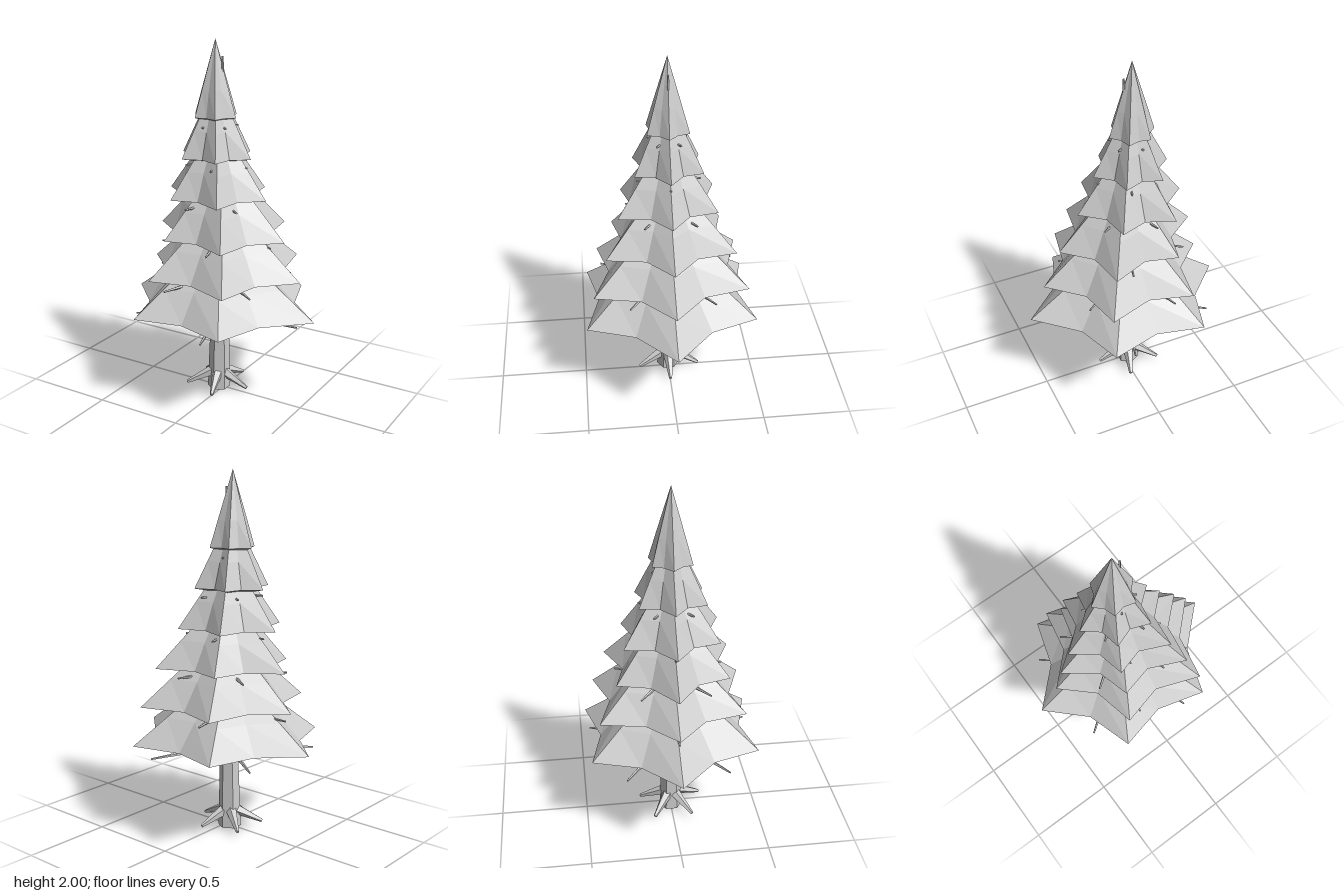
import * as THREE from 'three';

const grey = new THREE.MeshStandardMaterial({ color: 0xcccccc, flatShading: true });
grey.name = 'plain grey';

// Tapered rod from point a to point b
function rod(name, a, b, r0, r1, sides) {
  const dir = b.clone().sub(a);
  const mesh = new THREE.Mesh(new THREE.CylinderGeometry(r1, r0, dir.length(), sides), grey);
  mesh.name = name;
  mesh.position.copy(a).add(b).multiplyScalar(0.5);
  mesh.quaternion.setFromUnitVectors(new THREE.Vector3(0, 1, 0), dir.normalize());
  return mesh;
}

// Five rods spread evenly around a centre
function spokes(name, cx, turn, from, to, r0, r1) {
  const group = new THREE.Group();
  group.name = name;
  for (let i = 0; i < 5; i++) {
    const a = turn + (i * Math.PI * 2) / 5;
    const at = ([r, y]) => new THREE.Vector3(cx + r * Math.cos(a), y, r * Math.sin(a));
    group.add(rod(name + 'Piece', at(from), at(to), r0, r1, 5));
  }
  return group;
}

// Six-pointed star skirt: rim, narrower middle ring, apex and shallow underside
function starTier({ y, cx, tips, valley, top }) {
  const ring = (scale, valleyScale, h) => Array.from({ length: 12 }, (_, i) => {
    const a = (i * Math.PI) / 6;
    const k = i >> 1;
    const r = i % 2 ? ((tips[k] + tips[(k + 1) % 6]) / 2) * valley * valleyScale : tips[k] * scale;
    return [cx + r * Math.cos(a), h, r * Math.sin(a)];
  });
  const rim = ring(1, 1, y);
  const mid = ring(0.65, 0.69, y + 0.145);
  const apex = [cx, top, 0];
  const under = [cx, y - 0.04, 0];
  const pos = [];
  for (let i = 0; i < 12; i++) {
    const j = (i + 1) % 12;
    for (const p of [rim[i], mid[i], mid[j], rim[i], mid[j], rim[j],
      mid[i], apex, mid[j], rim[i], rim[j], under]) pos.push(...p);
  }
  const geo = new THREE.BufferGeometry();
  geo.setAttribute('position', new THREE.Float32BufferAttribute(pos, 3));
  geo.computeVertexNormals();
  const mesh = new THREE.Mesh(geo, grey);
  mesh.name = 'foliageTier';
  return mesh;
}

export function createModel() {
  const tree = new THREE.Group();
  tree.name = 'pineTree';

  // Trunk, leaning slightly
  tree.add(rod('trunk', new THREE.Vector3(-0.03, 0, 0), new THREE.Vector3(-0.005, 1.91, 0), 0.065, 0.005, 6));

  // Roots
  tree.add(spokes('roots', -0.03, 0, [0.02, 0.105], [0.185, 0.03], 0.034, 0.01));

  // Foliage: tip radii run from +x round through +z
  const tiers = [
    { y: 0.525, cx: -0.02, valley: 0.74, tips: [0.59, 0.55, 0.535, 0.555, 0.535, 0.55] },
    { y: 0.735, cx: 0, valley: 0.71, tips: [0.48, 0.497, 0.46, 0.455, 0.475, 0.49] },
    { y: 0.945, cx: -0.01, valley: 0.69, tips: [0.39, 0.41, 0.355, 0.4, 0.36, 0.41] },
    { y: 1.16, cx: -0.035, valley: 0.68, tips: [0.3, 0.325, 0.29, 0.31, 0.31, 0.3] },
    { y: 1.375, cx: -0.045, valley: 0.68, tips: [0.215, 0.212, 0.21, 0.215, 0.208, 0.213] },
    { y: 1.59, cx: -0.05, valley: 0.74, tips: [0.127, 0.13, 0.125, 0.13, 0.122, 0.13] },
  ];
  tiers.forEach((t) => tree.add(starTier({ ...t, top: t.y + 0.41 })));

  // Bare branches under each tier, alternating in direction
  const reach = [0.48, 0.4, 0.32, 0.24, 0.18, 0.11];
  reach.forEach((r, i) => {
    const y = 0.475 + i * 0.213;
    const thick = 0.02 - i * 0.002;
    tree.add(spokes('branches', -0.015 - i * 0.004, (i % 2) * Math.PI / 5,
      [0, y], [r, y], thick, 0.005));
  });

  return tree;
}
